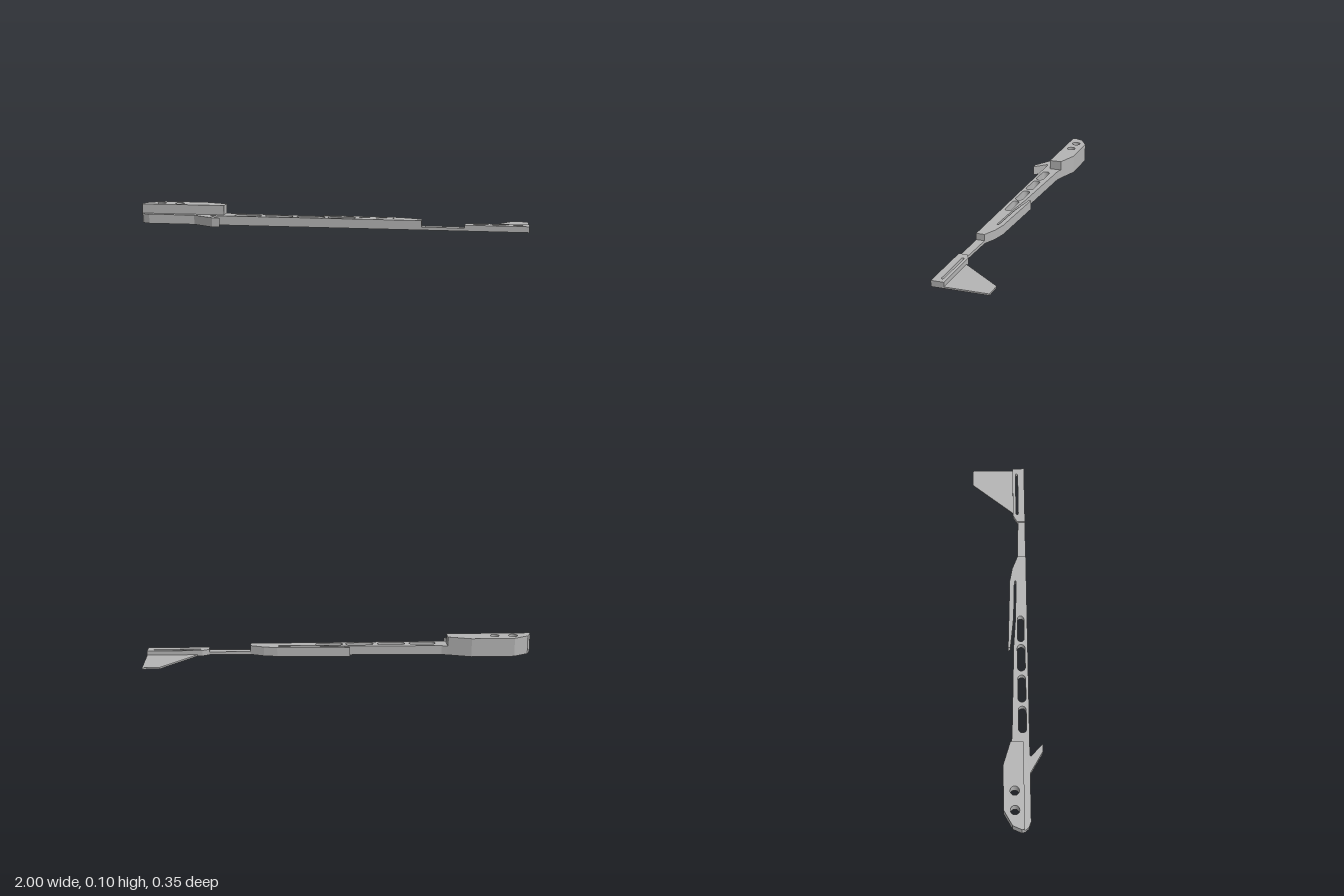
import * as THREE from 'three';

const grey = new THREE.MeshStandardMaterial({ color: 0xb4b4b4 });
grey.name = 'plain grey';

// Rounded slot (or a circle when length equals width) as a hole; plan coordinates are x, z
function slot(x0, x1, z, width) {
  const r = width / 2;
  const path = new THREE.Path();
  path.absarc(x1 - r, -z, r, -Math.PI / 2, Math.PI / 2, false);
  path.absarc(x0 + r, -z, r, Math.PI / 2, Math.PI * 1.5, false);
  path.closePath();
  return path;
}

// Flat plate: a plan outline of [x, z] points raised from the ground to a height
function plate(name, points, height, holes = []) {
  const shape = new THREE.Shape(points.map(([x, z]) => new THREE.Vector2(x, -z)));
  shape.holes.push(...holes);
  const geometry = new THREE.ExtrudeGeometry(shape, { depth: height, bevelEnabled: false, curveSegments: 12 });
  geometry.rotateX(-Math.PI / 2);
  const mesh = new THREE.Mesh(geometry, grey);
  mesh.name = name;
  return mesh;
}

export function createModel() {
  const model = new THREE.Group();
  model.name = 'slottedLever';

  // Tall head with two round holes
  model.add(plate('head', [
    [-0.997, 0.075], [-1, 0.06], [-0.98, 0.015], [-0.904, -0.028],
    [-0.68, -0.028], [-0.561, 0.01], [-0.561, 0.075],
  ], 0.097, [-0.904, -0.808].map((x) => slot(x - 0.023, x + 0.023, 0.028, 0.046))));

  // Long body with a hooked barb, a split spring arm and four slots
  const slots = [[-0.503, -0.364], [-0.342, -0.198], [-0.176, -0.032], [-0.016, 0.126]]
    .map(([a, b], i) => slot(a, b, 0.073, i === 3 ? 0.034 : 0.04));
  model.add(plate('body', [
    [-0.997, 0.075], [-0.561, 0.075], [-0.561, 0.01], [-0.53, 0.019],
    // slit between body and spring arm
    [-0.04, 0.035], [0.1, 0.046], [0.32, 0.054], [0.327, 0.049], [0.32, 0.044],
    [0.12, 0.037], [0.02, 0.026], [-0.045, 0.018],
    // outer side of the spring arm
    [-0.05, 0.006], [0.326, 0.02], [0.395, 0.034], [0.465, 0.063],
    // straight front edge and barb
    [0.465, 0.107], [-0.62, 0.107], [-0.625, 0.112], [-0.561, 0.173],
    [-0.6, 0.173], [-0.711, 0.107], [-0.952, 0.107], [-0.98, 0.096],
  ], 0.048, slots));

  // Thin neck
  model.add(plate('neck', [[0.465, 0.063], [0.68, 0.069], [0.68, 0.107], [0.465, 0.107]], 0.015));

  // Tail rail with a narrow slot
  model.add(plate('tailRail', [
    [0.68, 0.064], [0.715, 0.044], [1, 0.044], [1, 0.107], [0.68, 0.107],
  ], 0.03, [slot(0.722, 0.968, 0.066, 0.012)]));

  // Thin tail fin
  model.add(plate('tailFin', [[0.74, 0.044], [0.914, -0.173], [1, -0.173], [1, 0.044]], 0.008));

  return model;
}
